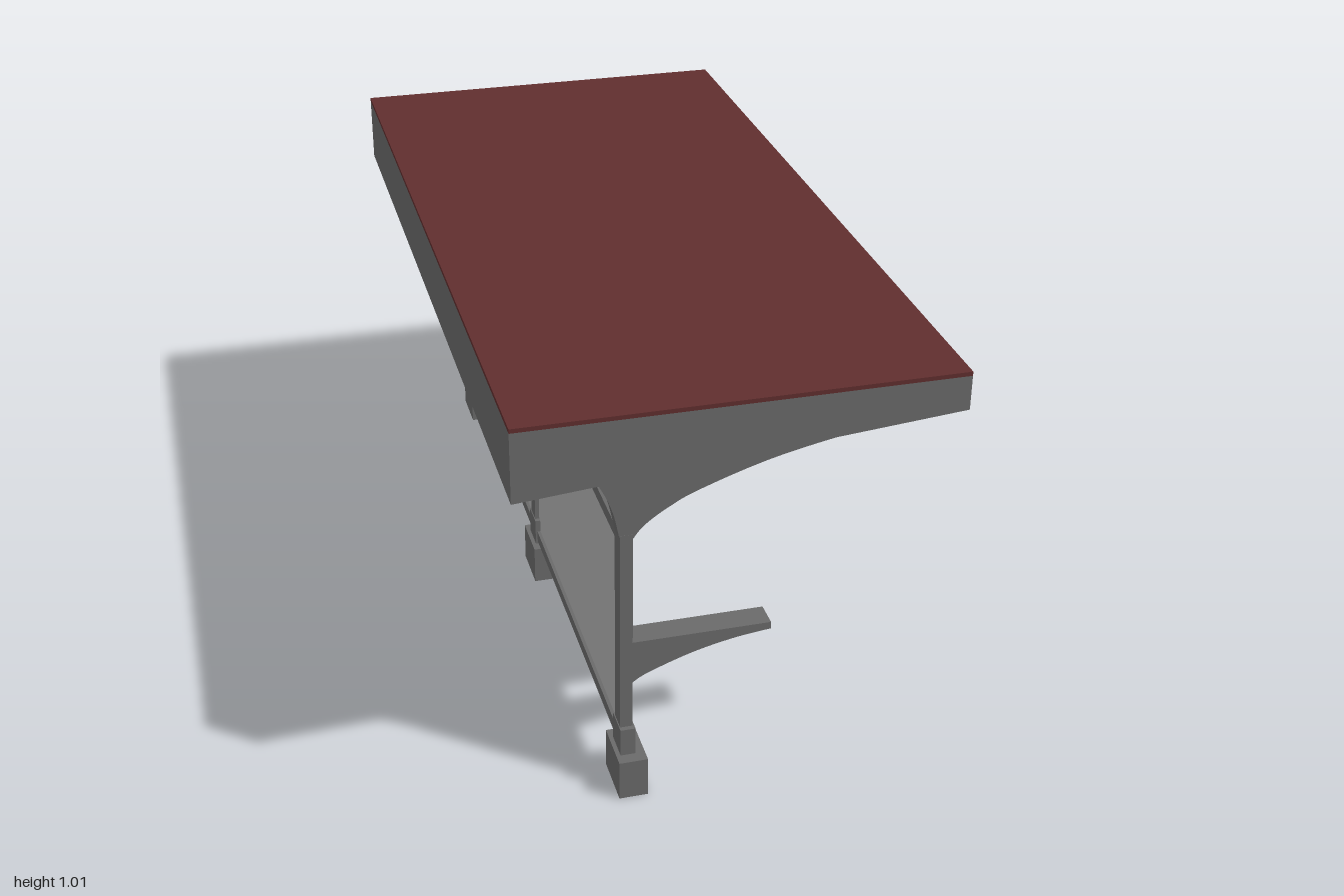
import * as THREE from 'three';

export function createModel() {
  const model = new THREE.Group();
  model.name = 'shelter';

  const mat = (name, color) => {
    const m = new THREE.MeshStandardMaterial({ color });
    m.name = name;
    return m;
  };
  const steel = mat('greySteel', 0x6a6a6a);
  const red = mat('darkRedRoof', 0x602e2e);
  const pane = mat('paleGlass', 0xb0b0b0);

  const add = (name, geometry, material) => {
    const mesh = new THREE.Mesh(geometry, material);
    mesh.name = name;
    model.add(mesh);
    return mesh;
  };
  // Box given by its limits on each axis
  const box = (name, x0, x1, y0, y1, z0, z1, material = steel) =>
    add(name, new THREE.BoxGeometry(x1 - x0, y1 - y0, z1 - z0), material)
      .position.set((x0 + x1) / 2, (y0 + y1) / 2, (z0 + z1) / 2);
  // Side profile (x, y) extruded along z, centred on z
  const slab = (name, outline, z, width) => {
    const shape = outline instanceof THREE.Shape ? outline
      : new THREE.Shape(outline.map(([x, y]) => new THREE.Vector2(x, y)));
    const g = new THREE.ExtrudeGeometry(shape, { depth: width, bevelEnabled: false, curveSegments: 8 });
    add(name, g, steel).position.z = z - width / 2;
  };

  // Roof sheet and the tapering fascia frame below it
  const rim = 0.06, roofY = 1.0;
  const bottom = x => 0.876 + 0.085 * x;
  const fascia = (x0, x1) => [[x0, bottom(x0)], [x1, bottom(x1)], [x1, roofY], [x0, roofY]];
  box('roofSheet', -0.5, 0.5, roofY, 1.01, -1, 1, red);
  for (const s of [-1, 1]) slab('endFascia', fascia(-0.5, 0.5), s * (1 - rim / 2), rim);
  slab('highFascia', fascia(0.5 - rim, 0.5), 0, 2 - 2 * rim);
  slab('lowFascia', fascia(-0.5, -0.5 + rim), 0, 2 - 2 * rim);

  // Curved cantilever arm, swelling out of the post top
  const arm = new THREE.Shape();
  arm.moveTo(-0.255, 0.67);
  arm.lineTo(-0.225, 0.67);
  arm.splineThru([[-0.2, 0.7], [-0.15, 0.735], [-0.08, 0.77], [0.09, 0.826],
    [0.3, 0.868], [0.475, 0.888]].map(p => new THREE.Vector2(...p)));
  arm.lineTo(0.475, 0.99);
  arm.lineTo(-0.41, 0.99);
  arm.lineTo(-0.41, 0.89);
  arm.splineThru([[-0.33, 0.85], [-0.295, 0.8], [-0.27, 0.74], [-0.255, 0.67]]
    .map(p => new THREE.Vector2(...p)));

  // Three frames: foot, sleeve, post and arm
  for (const z of [-0.915, 0, 0.915]) {
    box('foot', -0.267, -0.2, 0, 0.1, z - 0.063, z + 0.063);
    box('sleeve', -0.257, -0.222, 0.1, 0.17, z - 0.035, z + 0.035);
    box('post', -0.255, -0.226, 0.17, 0.68, z - 0.023, z + 0.023);
    slab('roofArm', arm, z, 0.045);
  }

  // Seat bracket, flat on top and curved below
  const bracket = new THREE.Shape();
  bracket.moveTo(-0.238, 0.165);
  bracket.lineTo(-0.215, 0.168);
  bracket.splineThru([[-0.19, 0.193], [-0.15, 0.215], [-0.05, 0.251], [0.05, 0.274], [0.14, 0.285]]
    .map(p => new THREE.Vector2(...p)));
  bracket.lineTo(0.14, 0.303);
  bracket.lineTo(-0.238, 0.303);

  // Two bays, each with rails, a pane and a pair of seat brackets
  for (const s of [-1, 1]) {
    const z0 = s > 0 ? 0.02 : -0.895, z1 = s > 0 ? 0.895 : -0.02;
    box('bottomRail', -0.252, -0.229, 0.107, 0.137, z0, z1);
    box('topRail', -0.252, -0.229, 0.645, 0.675, z0, z1);
    box('backPane', -0.244, -0.236, 0.135, 0.647, z0, z1, pane);
    for (const z of [0.14, 0.777]) slab('seatBracket', bracket, s * z, 0.065);
  }
  return model;
}
